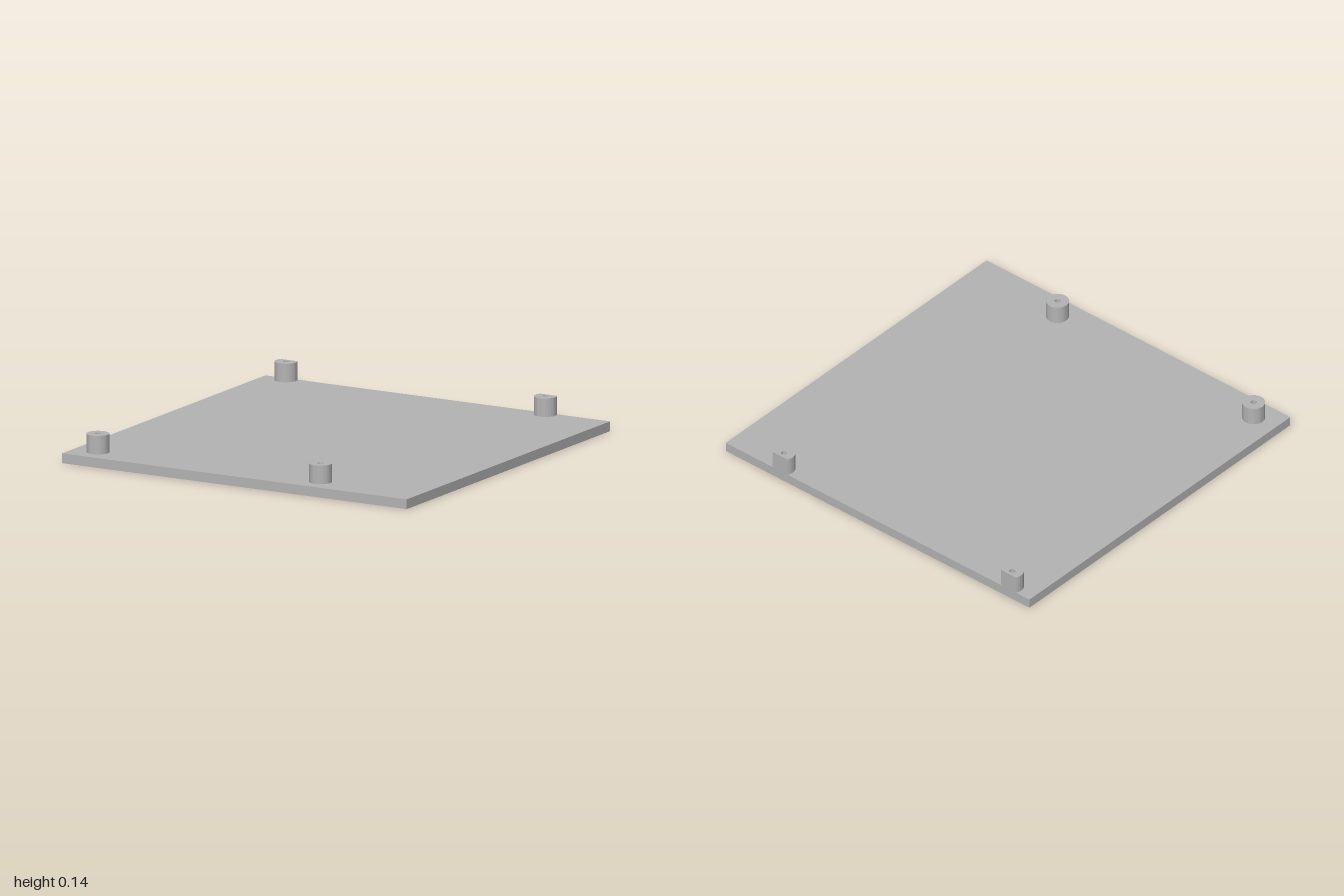
import * as THREE from 'three';
import { toCreasedNormals } from 'three/addons/utils/BufferGeometryUtils.js';

const PLATE_H = 0.05;
const POST_H = 0.095;
const POST_R = 0.058;
const HOLE_R = 0.015;

// Hollow standoff; flat is the distance from its axis to a straight cut at the back
function postGeometry(flat = POST_R) {
  const shape = new THREE.Shape();
  if (flat < POST_R) {
    const a = Math.asin(flat / POST_R);
    shape.absarc(0, 0, POST_R, Math.PI - a, Math.PI * 2 + a, false);
    shape.closePath();
  } else {
    shape.absarc(0, 0, POST_R, 0, Math.PI * 2, false);
  }
  const hole = new THREE.Path();
  hole.absarc(0, 0, HOLE_R, 0, Math.PI * 2, true);
  shape.holes.push(hole);
  const geometry = new THREE.ExtrudeGeometry(shape, { depth: POST_H, bevelEnabled: false, curveSegments: 40 });
  geometry.rotateX(-Math.PI / 2);
  return toCreasedNormals(geometry, Math.PI / 6);
}

export function createModel() {
  const group = new THREE.Group();
  group.name = 'mountingPlate';
  const grey = new THREE.MeshStandardMaterial({ color: 0xb4b4b4 });
  grey.name = 'grey';

  // Flat square base
  const plate = new THREE.Mesh(new THREE.BoxGeometry(2, PLATE_H, 2), grey);
  plate.name = 'basePlate';
  plate.position.y = PLATE_H / 2;
  group.add(plate);

  // Four standoffs; the back pair is trimmed flush with the plate's edge
  const posts = [
    ['frontRightPost', -0.862, 0.88],
    ['frontLeftPost', 0.43, 0.88],
    ['backRightPost', -0.862, -0.97],
    ['backLeftPost', 0.643, -0.97],
  ];
  for (const [name, x, z] of posts) {
    const post = new THREE.Mesh(postGeometry(Math.min(POST_R, 1 + z)), grey);
    post.name = name;
    post.position.set(x, PLATE_H, z);
    group.add(post);
  }
  return group;
}
